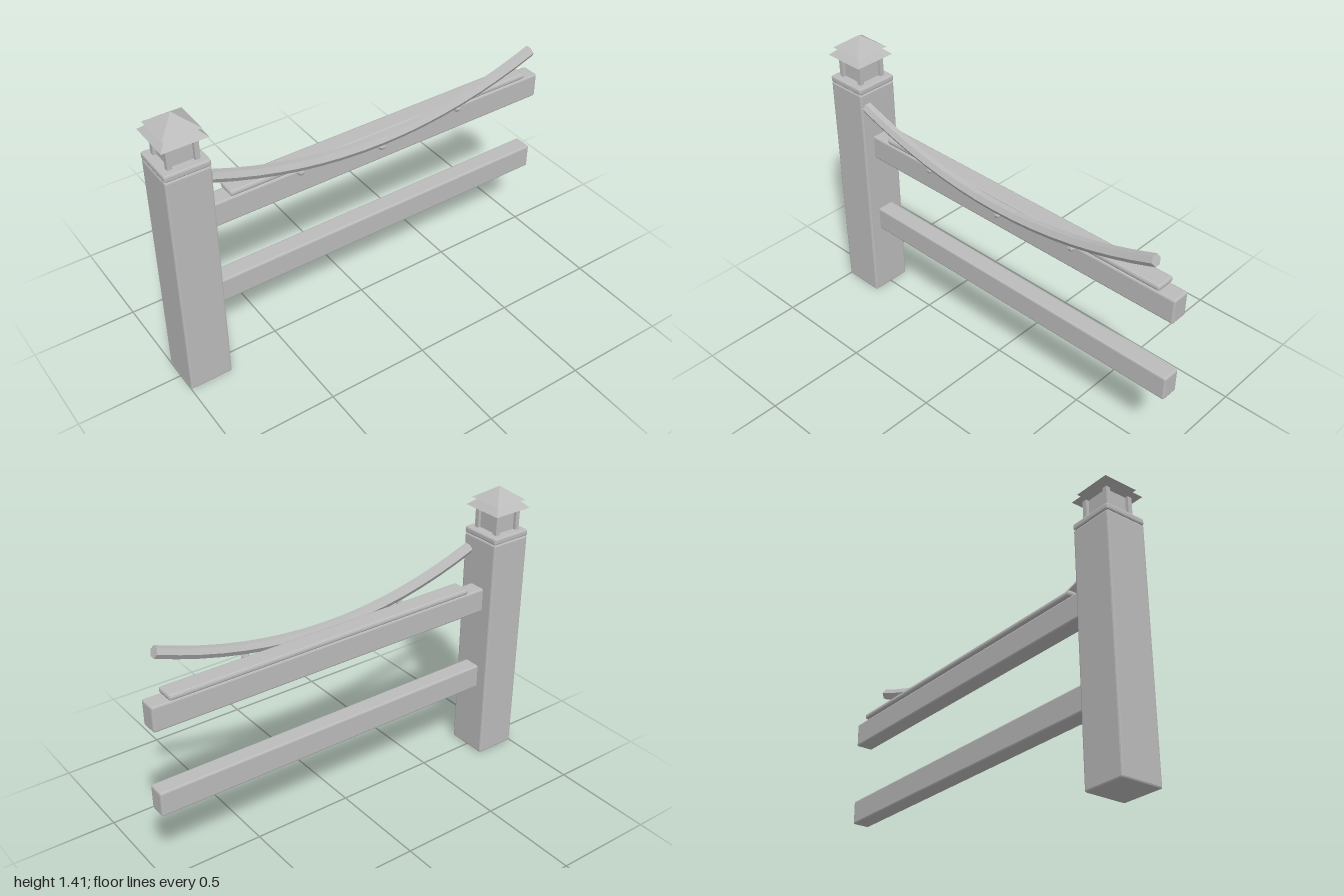
import * as THREE from 'three';
import { RoundedBoxGeometry } from 'three/addons/geometries/RoundedBoxGeometry.js';

export function createModel() {
  const model = new THREE.Group();
  model.name = 'fenceSection';
  const grey = new THREE.MeshStandardMaterial({ color: 0xbbbbbb, flatShading: true });
  grey.name = 'grey';

  const add = (name, geometry, x, y, z, parent = model) => {
    const mesh = new THREE.Mesh(geometry, grey);
    mesh.name = name;
    mesh.position.set(x, y, z);
    parent.add(mesh);
    return mesh;
  };
  // Box with chamfered edges
  const chamfered = (w, h, d, r) => new RoundedBoxGeometry(w, h, d, 1, r);
  // Four-sided roof given by half-widths
  const roof = (top, bottom, h) =>
    new THREE.CylinderGeometry(top * Math.SQRT2, bottom * Math.SQRT2, h, 4, 1).rotateY(Math.PI / 4);

  // Post and its cap slab
  const px = -0.895;
  add('post', chamfered(0.208, 1.17, 0.208, 0.008), px, 0.585, 0);
  add('postCap', chamfered(0.21, 0.032, 0.21, 0.008), px, 1.186, 0);

  // Lantern on the post
  const lantern = new THREE.Group();
  lantern.name = 'lantern';
  lantern.position.x = px;
  model.add(lantern);
  add('lanternCore', new THREE.BoxGeometry(0.115, 0.12, 0.115), 0, 1.258, 0, lantern);
  for (const sx of [-1, 1]) {
    for (const sz of [-1, 1]) {
      add('lanternPillar', new THREE.BoxGeometry(0.022, 0.12, 0.022), sx * 0.062, 1.258, sz * 0.062, lantern);
    }
  }
  add('lowerRoof', roof(0.06, 0.105, 0.04), 0, 1.332, 0, lantern);
  add('upperRoof', roof(0, 0.088, 0.062), 0, 1.381, 0, lantern);

  // Two horizontal rails and the board on the upper one
  for (const [name, y] of [['lowerRail', 0.434], ['upperRail', 0.862]]) {
    add(name, chamfered(1.8, 0.122, 0.088, 0.008), 0.1, y, 0);
  }
  add('topBoard', chamfered(1.61, 0.028, 0.096, 0.01), 0.115, 0.94, -0.003);

  // Sagging six-sided handrail in front of the rails
  const z = 0.072;
  const sag = new THREE.QuadraticBezierCurve3(
    new THREE.Vector3(-0.79, 1.1, z),
    new THREE.Vector3(0.06, 0.77, z),
    new THREE.Vector3(0.91, 1.1, z)
  );
  const hexagon = new THREE.Shape();
  for (let i = 0; i < 6; i++) {
    const a = (i * Math.PI) / 3;
    const x = 0.028 * Math.cos(a), y = 0.028 * Math.sin(a);
    if (i) hexagon.lineTo(x, y);
    else hexagon.moveTo(x, y);
  }
  add('curvedRail', new THREE.ExtrudeGeometry(hexagon, { steps: 16, extrudePath: sag }), 0, 0, 0);

  // Small knobs under the handrail
  for (const t of [0.25, 0.5, 0.75]) {
    const p = sag.getPoint(t);
    add('railKnob', new THREE.SphereGeometry(0.02, 6, 4), p.x, p.y - 0.036, z);
  }
  return model;
}
